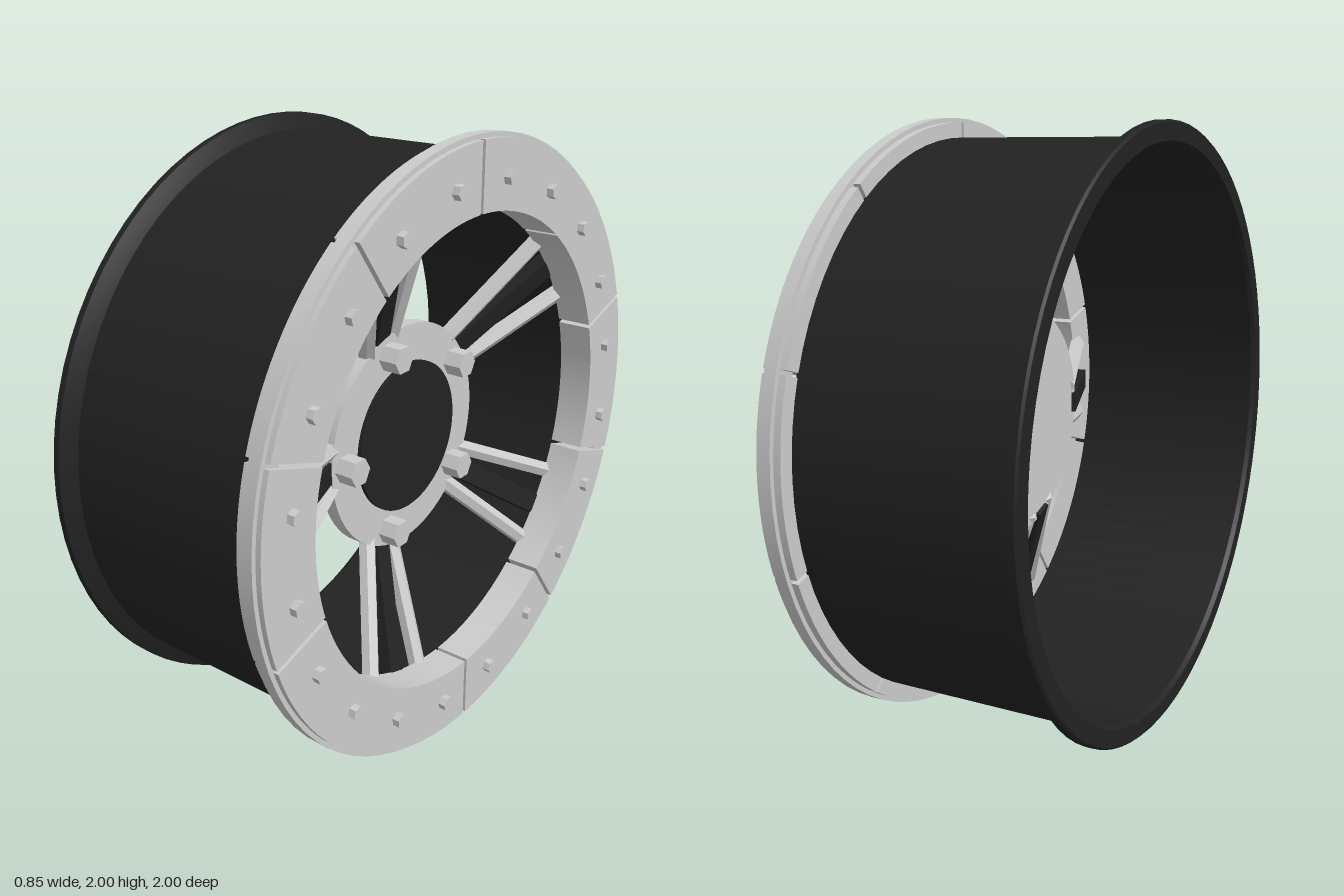
import * as THREE from 'three';
import { toCreasedNormals } from 'three/addons/utils/BufferGeometryUtils.js';

const grey = new THREE.MeshStandardMaterial({ color: 0xcccccc });
const black = new THREE.MeshStandardMaterial({ color: 0x222222 });

// The wheel is built around its z axis (outer face +z), then turned to face +x.
export function createModel() {
  const wheel = new THREE.Group();
  wheel.name = 'wheel';

  const add = (name, geometry, material = grey) => {
    const mesh = new THREE.Mesh(geometry, material);
    mesh.name = name;
    wheel.add(mesh);
    return mesh;
  };

  // Closed profile of [radius, z] points, counter-clockwise, spun around z
  const spin = (points) => {
    const pts = [...points, points[0]].map(([r, z]) => new THREE.Vector2(r, z));
    return toCreasedNormals(new THREE.LatheGeometry(pts, 80).rotateX(Math.PI / 2), 0.5);
  };

  // Disc or hexagonal prism from z0 to z1
  const prism = (r, z0, z1, sides) => {
    const g = new THREE.CylinderGeometry(r, r, z1 - z0, sides).rotateX(Math.PI / 2);
    g.translate(0, 0, (z0 + z1) / 2);
    return sides < 12 ? toCreasedNormals(g, 0.5) : g;
  };

  // Annular sector centred on angle a, with parallel-sided gaps to its neighbours
  const sector = (a, r0, r1, z0, z1) => {
    const half = Math.PI / 10, gap = 0.007;
    const h0 = half - gap / r0, h1 = half - gap / r1;
    const shape = new THREE.Shape();
    shape.absarc(0, 0, r1, a - h1, a + h1, false);
    shape.absarc(0, 0, r0, a + h0, a - h0, true);
    const g = new THREE.ExtrudeGeometry(shape, { depth: z1 - z0, bevelEnabled: false, curveSegments: 10 });
    return toCreasedNormals(g.translate(0, 0, z0), 0.5);
  };

  // Straight bar between two points
  const strut = (name, from, to, makeGeometry, material) => {
    const dir = to.clone().sub(from);
    const mesh = add(name, makeGeometry(dir.length()), material);
    const y = dir.normalize();
    const x = new THREE.Vector3().crossVectors(y, new THREE.Vector3(0, 0, 1)).normalize();
    const z = new THREE.Vector3().crossVectors(x, y);
    mesh.quaternion.setFromRotationMatrix(new THREE.Matrix4().makeBasis(x, y, z));
    mesh.position.copy(from).add(to).multiplyScalar(0.5);
  };

  // Barrel with a flared lip at the inner side
  add('barrel', spin([
    [0.925, -0.425], [0.98, -0.425], [0.987, -0.418], [0.987, -0.395], [0.955, -0.378],
    [0.937, -0.37], [0.937, 0.32], [0.915, 0.32], [0.915, -0.41],
  ]), black);

  // Clamp ring: a continuous band holding ten segments, two bolts each
  add('clampBand', spin([[0.93, 0.34], [1, 0.34], [1, 0.382], [0.93, 0.382]]));
  for (let i = 0; i < 10; i++) {
    const a = (i * Math.PI) / 5;
    add('ringSegment', sector(a, 0.77, 0.985, 0.315, 0.4));
    add('ringSegmentLip', sector(a, 0.77, 0.914, 0.28, 0.315));
    for (const s of [-1, 1]) {
      const b = a + (s * Math.PI) / 20;
      const bolt = add('ringBolt', prism(0.024, 0.39, 0.424, 6));
      bolt.position.set(0.87 * Math.cos(b), 0.87 * Math.sin(b), 0);
      bolt.rotation.z = b;
    }
  }

  // Hub with centre cap
  add('hub', prism(0.38, 0.085, 0.135, 64));
  add('centreCap', prism(0.255, 0.13, 0.148, 64), black);

  // Five spoke groups: two bright bars either side of a dark one, with a lug nut
  for (let i = 0; i < 5; i++) {
    const a = Math.PI + (i * 2 * Math.PI) / 5;
    const at = (r, t, z) => new THREE.Vector3(r, t, z).applyAxisAngle(new THREE.Vector3(0, 0, 1), a);
    for (const s of [-1, 1]) {
      strut('spoke', at(0.34, s * 0.062, 0.1), at(0.8, s * 0.14, 0.285),
        (len) => toCreasedNormals(new THREE.CylinderGeometry(0.03, 0.03, len, 6), 0.5));
    }
    strut('darkSpoke', at(0.35, 0, 0.095), at(0.79, 0, 0.265),
      (len) => new THREE.BoxGeometry(0.07, len, 0.05), black);
    const nut = add('lugNut', prism(0.047, 0.12, 0.2, 6));
    nut.position.copy(at(0.32, 0, 0));
    nut.rotation.z = Math.PI / 2;
  }

  wheel.rotation.y = Math.PI / 2;
  wheel.position.y = 1;
  const model = new THREE.Group();
  model.add(wheel);
  return model;
}
